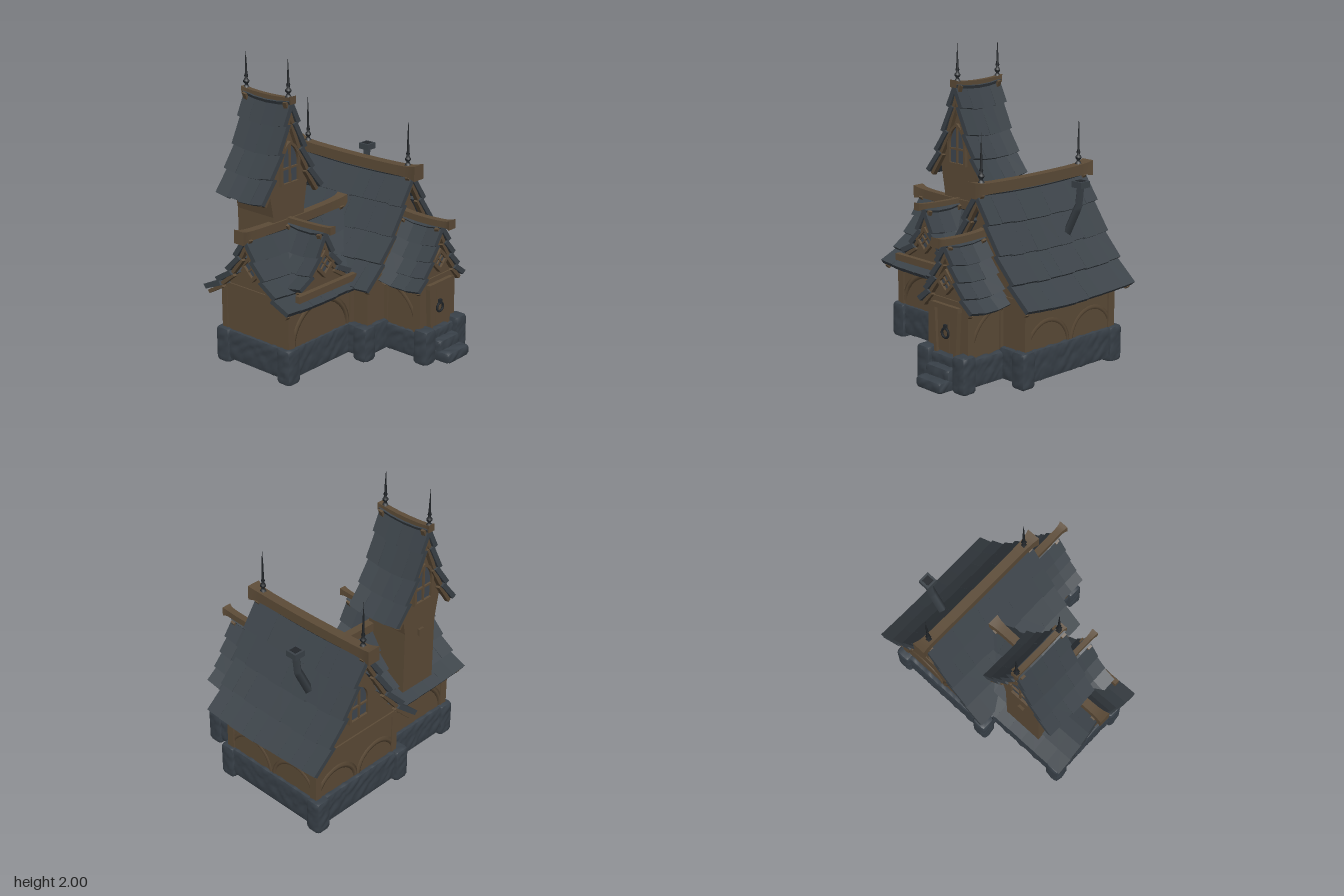
import * as THREE from 'three';
import { mergeGeometries } from 'three/addons/utils/BufferGeometryUtils.js';

const mat = (name, color) => Object.assign(new THREE.MeshStandardMaterial({ color }), { name });
const slate = mat('roof slate', 0x3b4248);
const wood = mat('timber', 0x5c4b37);
const stone = mat('foundation stone', 0x384048);
const iron = mat('dark iron', 0x23272b);
const glass = mat('window glass', 0x3f4750);

let seed = 7;
const rnd = () => (seed = (seed * 16807) % 2147483647) / 2147483647;

function add(parent, name, geo, material, x = 0, y = 0, z = 0) {
  const m = new THREE.Mesh(geo, material);
  m.name = name;
  m.position.set(x, y, z);
  parent.add(m);
  return m;
}
const box = (p, name, m, w, h, d, x, y, z) => add(p, name, new THREE.BoxGeometry(w, h, d), m, x, y, z);

// Move every vertex by a rule and refresh normals
function warp(geo, fn) {
  const pos = geo.attributes.position, v = new THREE.Vector3();
  for (let i = 0; i < pos.count; i++) {
    fn(v.fromBufferAttribute(pos, i));
    pos.setXYZ(i, v.x, v.y, v.z);
  }
  geo.computeVertexNormals();
  return geo;
}

// Slab lying on a slope from a to b (cross-section points), mirrored by s
function slab(a, b, s, z0, z1, lift, thick, rise, sag) {
  const dx = b[0] - a[0], dy = b[1] - a[1], l = Math.hypot(dx, dy);
  return warp(new THREE.BoxGeometry(1, 1, 1), (v) => {
    const u = s * v.x + 0.5, off = lift + (v.y + 0.5) * thick + u * rise;
    const z = z0 + (v.z + 0.5) * (z1 - z0);
    v.set(s * (a[0] + dx * u - (dy / l) * off), a[1] + dy * u + (dx / l) * off + sag(z), z);
  });
}

// Ridge beam along z with flared ends
function ridgeBeam(p, y, z0, z1, w, h) {
  const len = z1 - z0;
  const g = warp(new THREE.BoxGeometry(w, h, len, 1, 1, 24), (v) => {
    const t = Math.abs(v.z / len) * 2, k = 0.85 + 0.4 * t ** 12;
    v.x *= k;
    v.y = v.y * k + 0.012 * (t * t - 0.5);
  });
  add(p, 'ridgeBeam', g, wood, 0, y, (z0 + z1) / 2);
}

// Gabled part under a roof of overlapping plank rows, ridge along local z.
// Either one solid body, or a shell of side walls and the listed gable ends.
function gabled(root, o) {
  const g = new THREE.Group();
  g.name = o.name;
  if (o.alongX) { g.rotation.y = Math.PI / 2; g.position.z = o.at; } else g.position.x = o.at;
  root.add(g);
  const [r0, r1] = o.roof, [b0, b1] = o.body, t = 0.025;

  // Gable cross-section follows the roof just below its surface
  const right = [...o.wall];
  const top = right[right.length - 1][0];
  o.profile.slice().reverse().forEach(([x, y]) => { if (x < top && x > 0) right.push([x - 0.012, y - 0.015]); });
  const pts = [...right, [0, o.profile[0][1] - 0.03], ...right.slice().reverse().map(([x, y]) => [-x, y])];
  const gable = new THREE.Shape(pts.map((p) => new THREE.Vector2(...p)));
  const slice = (name, z, depth) => add(g, name, new THREE.ExtrudeGeometry(gable, { depth, bevelEnabled: false }), wood, 0, 0, z);
  if (o.ends) {
    const [[w, y0], [, y1]] = o.wall;
    o.ends.forEach((e) => slice('gableWall', e > 0 ? b1 - t : b0, t));
    for (const s of [1, -1]) box(g, 'sideWall', wood, t, y1 - y0, b1 - b0, s * (w - t / 2), (y0 + y1) / 2, (b0 + b1) / 2);
  } else slice('walls', b0, b1 - b0);

  const sag = (z) => 0.02 * ((2 * (z - r0) / (r1 - r0) - 1) ** 2 - 0.6);
  for (const s of [1, -1]) {
    const planks = [], barge = [];
    const n = Math.max(3, Math.round((r1 - r0) / 0.11)), step = (r1 - r0) / n;
    for (let i = 0; i < o.profile.length - 1; i++) {
      const a = o.profile[i], b = o.profile[i + 1], last = i === o.profile.length - 2;
      for (let k = 0; k < n; k++) {
        const e = (last ? 0.96 : 1.06) + rnd() * 0.05;
        const end = [a[0] + (b[0] - a[0]) * e, a[1] + (b[1] - a[1]) * e];
        planks.push(slab(a, end, s, r0 + k * step, r0 + (k + 1) * step, -0.03, 0.034, 0.029 + rnd() * 0.005, sag));
      }
      for (const z of [r0 + 0.012, r1 - 0.042]) barge.push(slab(a, b, s, z, z + 0.03, -0.046, 0.024, 0.014, sag));
    }
    add(g, 'roofPlanks', mergeGeometries(planks), slate);
    add(g, 'bargeBoards', mergeGeometries(barge), wood);
  }
  ridgeBeam(g, ...o.beam);

  // Corner posts and wall plates
  if (o.ends) {
    const w = o.wall[0][0] - 0.012;
    for (const s of [1, -1]) {
      for (const z of [b0 + 0.02, b1 - 0.02]) box(g, 'cornerPost', wood, 0.045, 0.34, 0.055, s * w, 0.37, z);
      box(g, 'wallPlate', wood, 0.04, 0.035, b1 - b0, s * w, 0.51, (b0 + b1) / 2);
    }
    for (const e of o.ends) box(g, 'gableTie', wood, w * 2, 0.035, 0.02, 0, 0.54, e > 0 ? b1 : b0);
  }
  return g;
}

// Flat arched wall brace, drawn in a plane facing +z then turned
function brace(p, x, z, turn, r, arc = Math.PI) {
  const g = new THREE.TorusGeometry(r, 0.02, 4, 16, arc);
  g.scale(1, 1, 0.35);
  add(p, 'archBrace', g, wood, x, 0.22, z).rotation.y = turn;
}

// Window facing local +z: square set on its corner
function diamondWindow(p, y, z, r) {
  const w = new THREE.Group();
  w.name = 'diamondWindow';
  w.position.set(0, y, z);
  w.rotation.z = Math.PI / 4;
  p.add(w);
  const side = r * 1.35;
  box(w, 'glass', glass, side, side, 0.008, 0, 0, 0.008);
  for (const s of [1, -1]) {
    box(w, 'frame', wood, side + 0.022, 0.022, 0.035, 0, s * side / 2, 0.012);
    box(w, 'frame', wood, 0.022, side + 0.022, 0.035, s * side / 2, 0, 0.012);
  }
  box(w, 'bar', wood, side, 0.009, 0.02, 0, 0, 0.013);
  box(w, 'bar', wood, 0.009, side, 0.02, 0, 0, 0.013);
}

// Arched window with frame and glazing bars
function archWindow(p, y, z, hw, h, back) {
  const outline = (S, a, top, foot) => new S().moveTo(-a, foot).lineTo(a, foot).lineTo(a, top * 0.5)
    .quadraticCurveTo(a, top * 0.85, 0, top).quadraticCurveTo(-a, top * 0.85, -a, top * 0.5).lineTo(-a, foot);
  const w = new THREE.Group();
  w.name = 'archWindow';
  w.position.set(0, y, z);
  if (back) w.rotation.y = Math.PI;
  p.add(w);
  const frame = outline(THREE.Shape, hw + 0.018, h + 0.02, 0);
  frame.holes.push(outline(THREE.Path, hw, h, 0.015));
  add(w, 'frame', new THREE.ExtrudeGeometry(frame, { depth: 0.025, bevelEnabled: false }), wood);
  add(w, 'glass', new THREE.ExtrudeGeometry(outline(THREE.Shape, hw, h, 0.01), { depth: 0.008, bevelEnabled: false }), glass);
  box(w, 'bar', wood, 0.012, h, 0.02, 0, h / 2, 0.01);
  box(w, 'bar', wood, hw * 2, 0.012, 0.02, 0, h * 0.42, 0.01);
}

// Stone block given by its extents, with rounded edges and creased faces
function block(p, name, x0, x1, y0, y1, z0, z1) {
  const d = [x1 - x0, y1 - y0, z1 - z0], n = d.map((l) => Math.max(3, Math.round(l / 0.02)));
  const c = [(x0 + x1) / 2, (y0 + y1) / 2, (z0 + z1) / 2];
  const g = warp(new THREE.BoxGeometry(...d, ...n), (v) => {
    const q = [v.x, v.y, v.z], [X, Y, Z] = q.map((t, i) => t + c[i]);
    const outer = q.map((t, i) => Math.abs(t) > d[i] / 2 - 1e-4);
    const edges = outer.filter(Boolean).length;
    const along = Math.sin(26 * (X + Z) + 3 * Math.sin(19 * Y)), up = Math.sin(33 * Y + 2 * Math.sin(23 * (X - Z)));
    const k = edges > 1 ? -0.004 * (edges - 1) : 0.01 * (Math.min(Math.abs(along), Math.abs(up)) - 0.35);
    v.set(...q.map((t, i) => (outer[i] ? t + Math.sign(t) * k : t)));
  });
  add(p, name, g, stone, ...c);
}

function spire(p, x, y, z, h) {
  const pts = [[0.024, 0], [0.016, 0.02], [0.008, 0.03], [0.019, 0.045], [0.019, 0.055], [0.008, 0.07],
    [0.013, 0.085], [0.008, 0.1], [0.006, h * 0.6], [0, h]].map((q) => new THREE.Vector2(...q));
  add(p, 'roofSpire', new THREE.LatheGeometry(pts, 4), iron, x, y, z).rotation.y = Math.PI / 4;
}

export function createModel() {
  seed = 7;
  const root = new THREE.Group();
  root.name = 'cottage';

  const hall = gabled(root, { name: 'mainHall', alongX: true, at: -0.315, roof: [-0.66, 0.30], body: [-0.57, 0.22],
    wall: [[0.355, 0.2], [0.355, 0.57]], ends: [-1, 1], beam: [1.2, -0.7, 0.34, 0.075, 0.08],
    profile: [[0, 1.18], [0.092, 1.0], [0.186, 0.82], [0.3, 0.66], [0.44, 0.5]] });
  archWindow(hall, 0.68, -0.57, 0.07, 0.25, true);

  const wing = gabled(root, { name: 'frontWing', at: -0.185, roof: [-0.16, 0.74], body: [0.03, 0.65],
    wall: [[0.28, 0.2], [0.28, 0.52]], ends: [1], beam: [0.94, -0.18, 0.78, 0.066, 0.07],
    profile: [[0, 0.93], [0.063, 0.79], [0.137, 0.675], [0.232, 0.58], [0.35, 0.495]] });
  diamondWindow(wing, 0.715, 0.65, 0.085);

  const porch = gabled(root, { name: 'doorWing', alongX: true, at: -0.305, roof: [0.22, 0.55], body: [0.2, 0.51],
    wall: [[0.17, 0.2], [0.17, 0.55]], ends: [1], beam: [0.92, 0.2, 0.62, 0.055, 0.05],
    profile: [[0, 0.9], [0.053, 0.78], [0.102, 0.68], [0.157, 0.585], [0.225, 0.495]] });
  diamondWindow(porch, 0.665, 0.51, 0.07);

  const tower = gabled(root, { name: 'tower', alongX: true, at: 0.35, roof: [-0.53, -0.13], body: [-0.48, -0.17],
    wall: [[0.14, 0.55], [0.14, 1.0], [0.175, 1.19]], beam: [1.73, -0.54, -0.12, 0.042, 0.04],
    profile: [[0, 1.73], [0.042, 1.58], [0.096, 1.41], [0.167, 1.26], [0.255, 1.105]] });
  archWindow(tower, 1.19, -0.17, 0.068, 0.26);
  archWindow(tower, 1.19, -0.48, 0.068, 0.26, true);

  const dormer = gabled(root, { name: 'dormer', alongX: true, at: 0.35, roof: [-0.18, 0.14], body: [-0.15, 0.11],
    wall: [[0.2, 0.56], [0.2, 0.59]], beam: [0.96, -0.5, 0.2, 0.038, 0.04],
    profile: [[0, 0.94], [0.053, 0.79], [0.122, 0.68], [0.225, 0.595]] });
  diamondWindow(dormer, 0.73, 0.11, 0.08);
  box(dormer, 'dormerSill', wood, 0.53, 0.045, 0.035, 0, 0.575, 0.145);

  // Planked door with flared posts, lintel and ring
  for (const x of [-1, 0, 1]) box(porch, 'doorPlank', wood, 0.055, 0.27, 0.03 - 0.006 * x * x, x * 0.055, 0.355, 0.515);
  for (const s of [1, -1]) box(porch, 'doorPost', wood, 0.025, 0.3, 0.05, s * 0.095, 0.36, 0.52).rotation.z = -s * 0.06;
  box(porch, 'lintel', wood, 0.24, 0.03, 0.055, 0, 0.51, 0.52);
  add(porch, 'doorRing', new THREE.TorusGeometry(0.03, 0.008, 6, 16), iron, 0, 0.345, 0.54);
  box(porch, 'ringMount', iron, 0.024, 0.03, 0.025, 0, 0.383, 0.535);

  // Curved braces on the walls
  const q = Math.PI / 2;
  brace(root, 0.095, 0.35, q, 0.26);
  brace(root, -0.465, 0.35, q, 0.26);
  for (const z of [-0.137, -0.473]) brace(root, 0.2, z, 0, 0.28, q);
  for (const x of [-0.37, 0.02]) brace(root, x, -0.668, 0, 0.18);
  for (const z of [-0.49, -0.13]) brace(root, -0.57, z, q, 0.17);

  // Stone foundation: low open walls, corner piers and steps
  const base = new THREE.Group();
  base.name = 'foundation';
  root.add(base);
  const walls = [[-0.6, -0.55, -0.66, 0.07], [-0.57, 0.22, -0.69, -0.64], [-0.57, -0.44, 0.03, 0.1],
    [0.08, 0.22, 0.03, 0.1], [0.19, 0.25, -0.66, -0.47], [0.19, 0.25, -0.15, 0.07],
    [-0.49, -0.44, 0.07, 0.64], [0.06, 0.11, 0.07, 0.64], [-0.45, 0.08, 0.62, 0.67]];
  for (const [x0, x1, z0, z1] of walls) block(base, 'stoneWall', x0, x1, 0.03, 0.235, z0, z1);
  for (const [x0, x1, z0, z1] of [[0.22, 0.53, -0.51, -0.45], [0.22, 0.53, -0.17, -0.12], [0.48, 0.56, -0.45, -0.17]])
    block(base, 'lowStoneWall', x0, x1, 0.03, 0.21, z0, z1);
  const piers = [[-0.57, 0.065], [0.215, 0.065], [-0.57, -0.655], [0.215, -0.655],
    [-0.455, 0.635], [0.08, 0.635], [0.54, -0.15], [0.54, -0.475]];
  for (const [x, z] of piers) block(base, 'cornerPier', x - 0.053, x + 0.053, 0.005, 0.24, z - 0.053, z + 0.053);
  block(base, 'upperStep', 0.54, 0.62, 0.02, 0.15, -0.42, -0.21);
  block(base, 'lowerStep', 0.56, 0.695, 0.015, 0.085, -0.425, -0.205);

  // Bent chimney pipe with cap
  const pipe = new THREE.CurvePath();
  const bends = [[0.82, -0.47], [1.05, -0.585], [1.18, -0.6]].map(([y, z]) => new THREE.Vector3(-0.33, y, z));
  for (let i = 0; i < 2; i++) pipe.add(new THREE.LineCurve3(bends[i], bends[i + 1]));
  add(root, 'chimneyPipe', new THREE.TubeGeometry(pipe, 12, 0.03, 4), slate);
  box(root, 'chimneyCap', slate, 0.08, 0.04, 0.08, -0.33, 1.19, -0.6);
  box(root, 'chimneyOpening', iron, 0.05, 0.004, 0.05, -0.33, 1.211, -0.6);

  for (const x of [-0.52, -0.16]) spire(root, x, 1.74, 0.35, 0.26);
  for (const x of [-0.61, 0.25]) spire(root, x, 1.23, -0.315, 0.32);
  return root;
}
